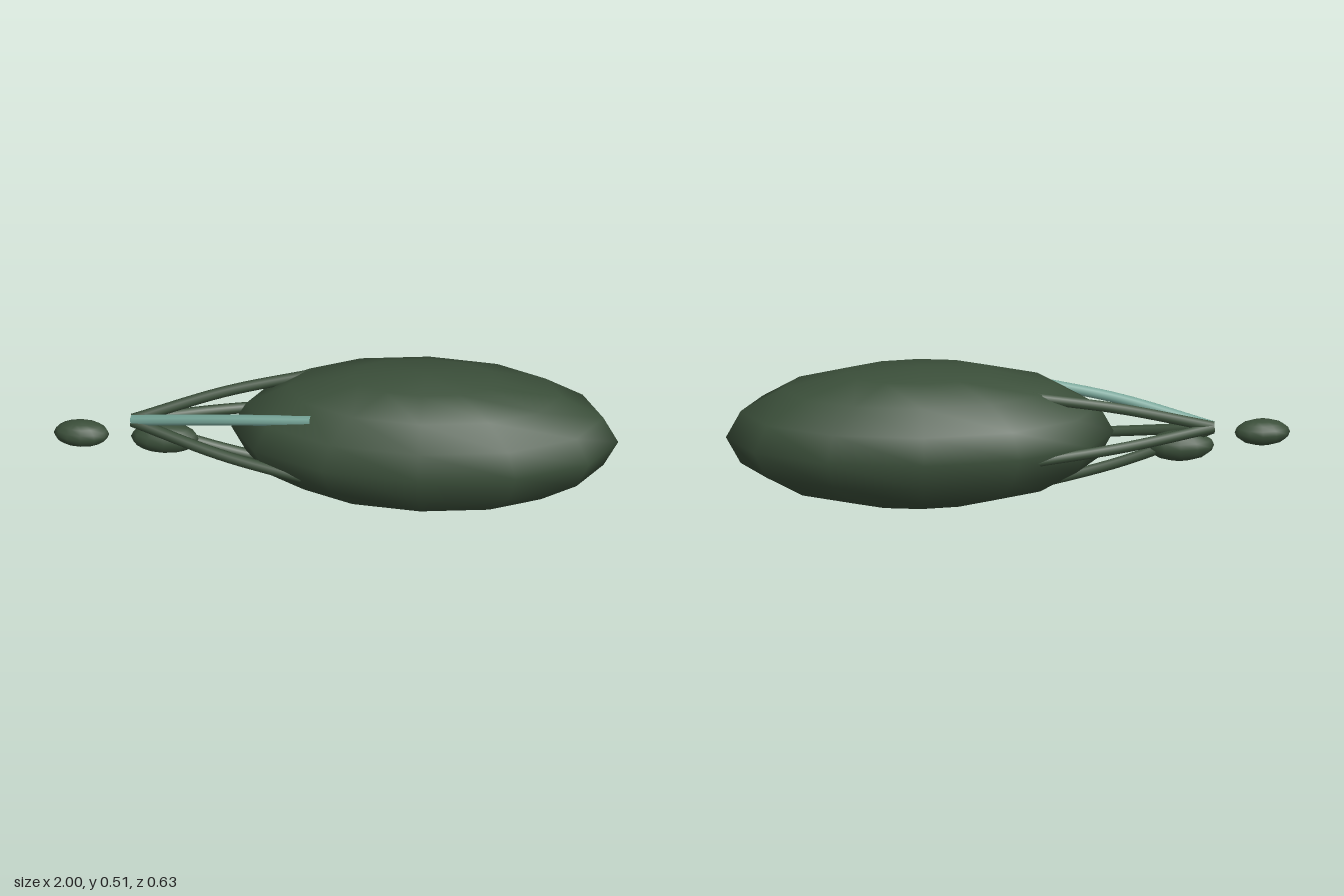
import * as THREE from 'three';

export function createModel() {
  const model = new THREE.Group();
  const darkGreen = new THREE.MeshStandardMaterial({ color: 0x3b4f3a });
  const paleTeal = new THREE.MeshStandardMaterial({ color: 0x76a598 });
  darkGreen.side = paleTeal.side = THREE.DoubleSide; // the cords are open tubes

  const add = (name, geometry, material) => {
    const mesh = new THREE.Mesh(geometry, material);
    mesh.name = name;
    model.add(mesh);
  };
  const ellipsoid = (name, radii, centre) =>
    add(name, new THREE.SphereGeometry(1, 12, 8).scale(...radii).translate(...centre), darkGreen);

  // Large envelope and the two small pods in line with it
  ellipsoid('body', [0.685, 0.257, 0.315], [0.31, 0.259, 0]);
  ellipsoid('slungPod', [0.12, 0.055, 0.058], [-0.61, 0.2, 0]);
  ellipsoid('leadPod', [0.098, 0.047, 0.055], [-0.902, 0.23, 0.04]);

  // Five cords fan out from one point and sink into the envelope
  for (let i = 0; i < 5; i++) {
    const angle = THREE.MathUtils.degToRad(45 + i * 72);
    const at = (x, spread, y) => new THREE.Vector3(
      x, y + Math.sin(angle) * 0.19 * spread, Math.cos(angle) * 0.22 * spread);
    const path = new THREE.CatmullRomCurve3([
      at(-0.725, 0.02, 0.266), at(-0.4, 0.6, 0.263), at(-0.08, 1, 0.26),
    ]);
    add(`cord${i + 1}`, new THREE.TubeGeometry(path, 16, 0.02, 8), i === 0 ? paleTeal : darkGreen);
  }
  return model;
}
